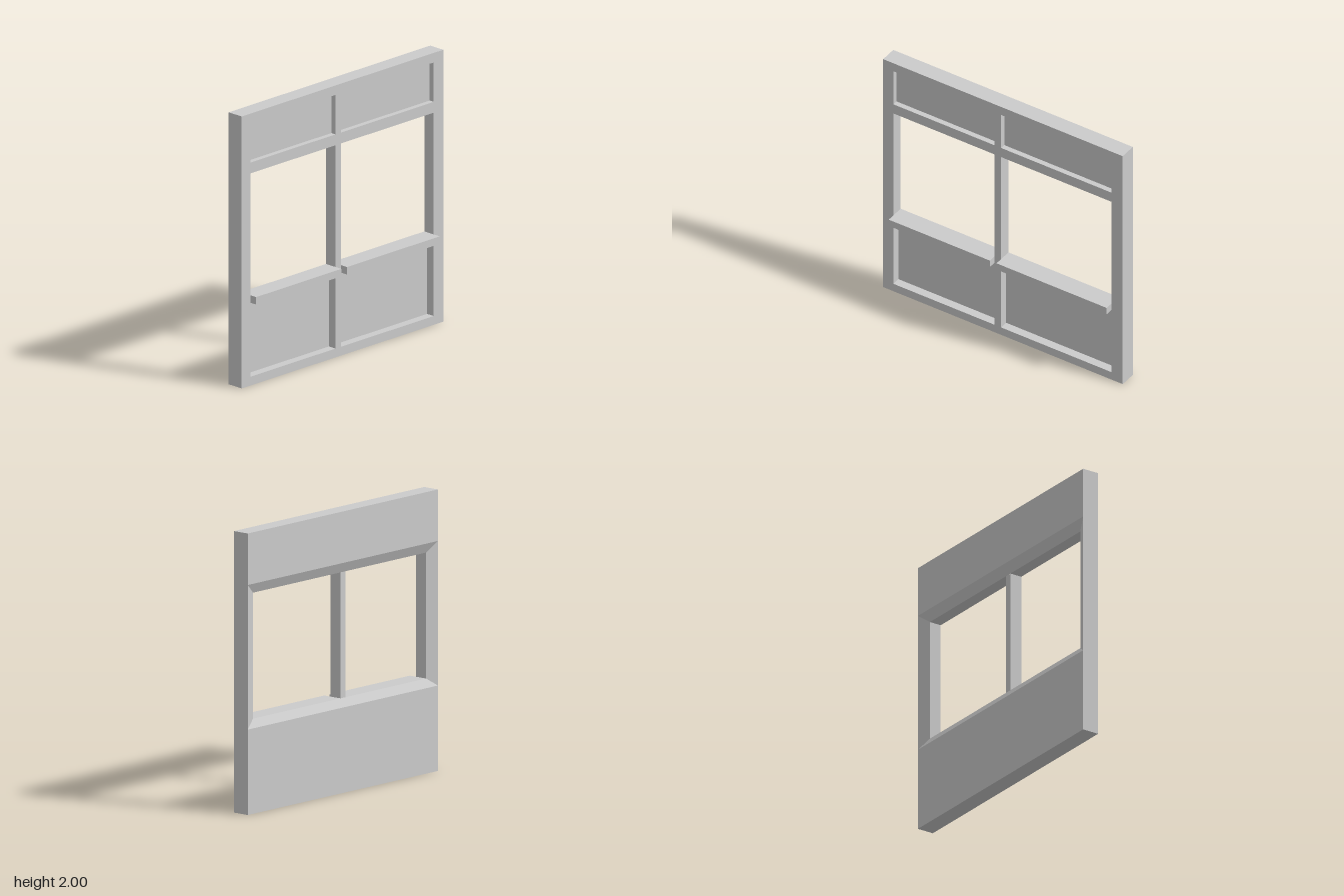
import * as THREE from 'three';

const FRONT = 0.034, BACK = -0.093;
const REVEAL = -0.058;           // depth where the window reveal meets the back splay
const UPPER = -0.006, LOWER = -0.03; // floors of the recessed panels
const SILL_Z = 0.092;
const SILL_LOW = 0.61, SILL_TOP = 0.665, HEAD = 1.56;
const BAYS = [[-0.915, -0.07], [-0.015, 0.905]];

const material = new THREE.MeshStandardMaterial({ color: 0xcccccc, flatShading: true });

// Rectangle as four corners, anticlockwise seen from the front
const rect = (x0, x1, y0, y1, z) => [[x0, y0, z], [x1, y0, z], [x1, y1, z], [x0, y1, z]];

function quadMesh(name, quads) {
  const pos = quads.flatMap(([a, b, c, d]) => [a, b, c, a, c, d].flat());
  const geo = new THREE.BufferGeometry();
  geo.setAttribute('position', new THREE.Float32BufferAttribute(pos, 3));
  geo.computeVertexNormals();
  const mesh = new THREE.Mesh(geo, material);
  mesh.name = name;
  return mesh;
}

// Four walls joining a front rectangle to a back one
function ring(a, b, inward) {
  return a.map((p, i) => {
    const j = (i + 1) % 4;
    const q = [p, b[i], b[j], a[j]];
    return inward ? q.reverse() : q;
  });
}

// Recess: walls plus a floor
function recess(name, x0, x1, y0, y1, depth) {
  const floor = rect(x0, x1, y0, y1, depth);
  return quadMesh(name, [...ring(rect(x0, x1, y0, y1, FRONT), floor, true), floor]);
}

export function createModel() {
  const group = new THREE.Group();

  // Front face of the frame, cut out for panels and windows
  const path = (P, x0, x1, y0, y1) =>
    new P(rect(x0, x1, y0, y1, 0).map(([x, y]) => new THREE.Vector2(x, y)));
  const face = path(THREE.Shape, -1, 1, 0, 2);
  for (const [x0, x1] of BAYS) {
    face.holes.push(path(THREE.Path, x0, x1, 1.64, 1.93));
    face.holes.push(path(THREE.Path, x0, x1, 0.065, HEAD));
  }
  const frame = new THREE.Mesh(new THREE.ShapeGeometry(face).translate(0, 0, FRONT), material);
  frame.name = 'frontFrame';
  group.add(frame);

  // Outer edges of the wall
  group.add(quadMesh('outerEdges', ring(rect(-1, 1, 0, 2, FRONT), rect(-1, 1, 0, 2, BACK), false)));

  // Panels, window reveal and sill of each bay
  for (const [x0, x1] of BAYS) {
    const inSill = 0.635;
    group.add(recess('upperPanel', x0, x1, 1.64, 1.93, UPPER));
    group.add(recess('lowerPanel', x0, x1, 0.065, inSill, LOWER));
    group.add(quadMesh('windowReveal', ring(
      rect(x0, x1, inSill, HEAD, FRONT), rect(x0, x1, inSill, HEAD, REVEAL), true)));

    const sill = new THREE.Mesh(
      new THREE.BoxGeometry(x1 - x0, SILL_TOP - SILL_LOW, SILL_Z - REVEAL), material);
    sill.position.set((x0 + x1) / 2, (SILL_LOW + SILL_TOP) / 2, (SILL_Z + REVEAL) / 2);
    sill.name = 'sill';
    group.add(sill);
  }

  // Back of the mullion between the windows
  group.add(quadMesh('mullionBack', [
    rect(BAYS[0][1], BAYS[1][0], SILL_TOP, HEAD, REVEAL).reverse()]));

  // Splay widening from the openings to the back of the wall
  const low = 0.607, high = 1.634;
  group.add(quadMesh('backSplay', ring(
    rect(BAYS[0][0], BAYS[1][1], SILL_TOP, HEAD, REVEAL),
    rect(-1, 1, low, high, BACK), true)));

  // Plain back panels above and below the splay
  group.add(quadMesh('backPanels', [
    rect(-1, 1, 0, low, BACK).reverse(),
    rect(-1, 1, high, 2, BACK).reverse()]));

  return group;
}
